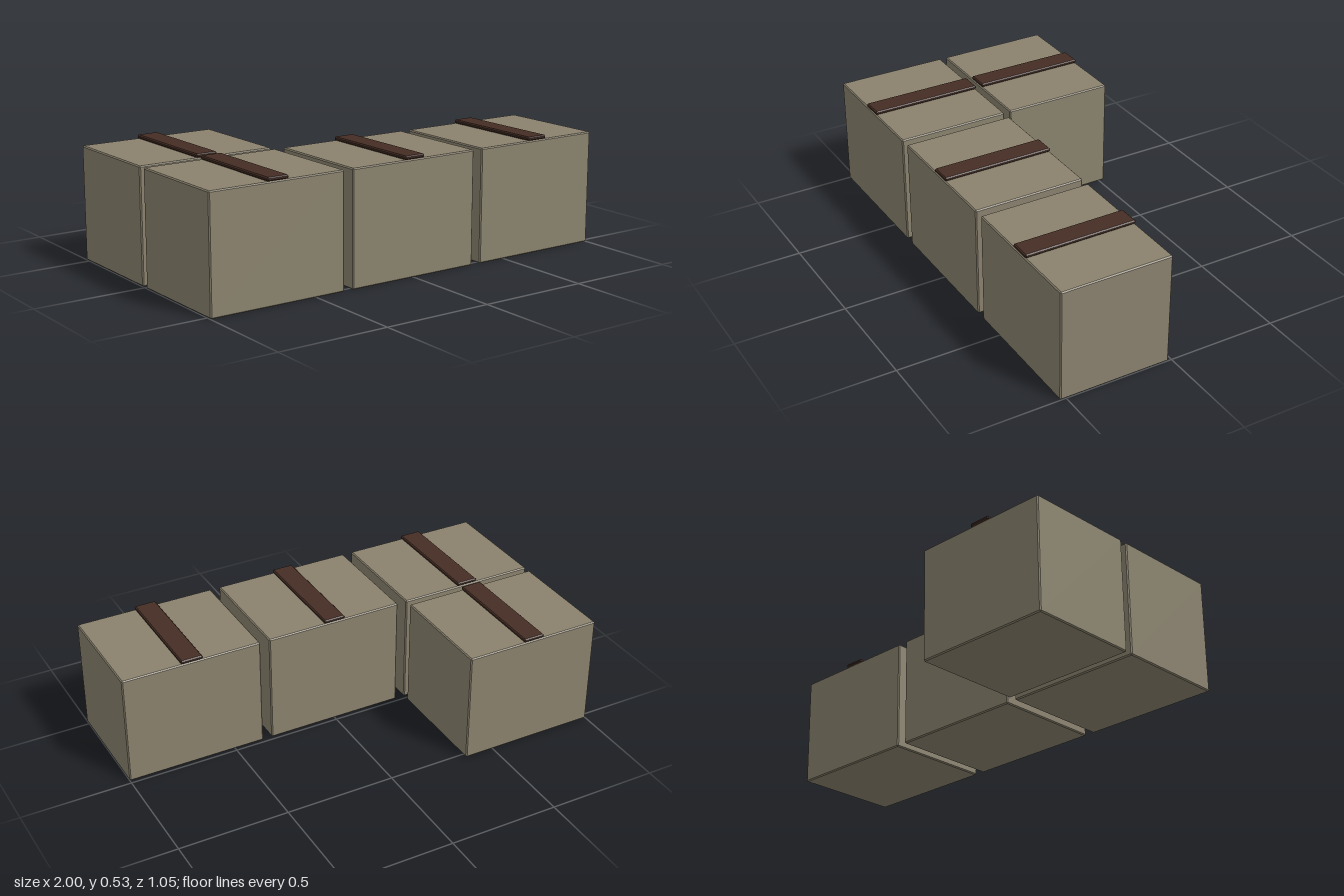
import * as THREE from 'three';
import { ConvexGeometry } from 'three/addons/geometries/ConvexGeometry.js';

// Box with narrow chamfers on every edge
function chamferedBox(w, h, d, c) {
  const points = [];
  for (const sx of [-1, 1]) for (const sy of [-1, 1]) for (const sz of [-1, 1]) {
    const x = sx * w / 2, y = sy * h / 2, z = sz * d / 2;
    points.push(
      new THREE.Vector3(x, y - sy * c, z - sz * c),
      new THREE.Vector3(x - sx * c, y, z - sz * c),
      new THREE.Vector3(x - sx * c, y - sy * c, z)
    );
  }
  return new ConvexGeometry(points);
}

export function createModel() {
  const group = new THREE.Group();
  const stone = new THREE.MeshStandardMaterial({ color: 0x8a826e });
  stone.name = 'greyBrown';
  const strap = new THREE.MeshStandardMaterial({ color: 0x452d24 });
  strap.name = 'darkBrown';

  const W = 0.638, H = 0.512, D = 0.512;
  const blockGeo = chamferedBox(W, H, D, 0.005);
  const stripGeo = chamferedBox(0.1, 0.017, D, 0.005);

  // Three blocks along the front, one behind the right-hand end
  const places = [[-0.681, 0.271], [0, 0.271], [0.681, 0.271], [-0.681, -0.271]];
  places.forEach(([x, z], i) => {
    const unit = new THREE.Group();
    unit.name = `block${i + 1}`;
    const body = new THREE.Mesh(blockGeo, stone);
    body.name = 'blockBody';
    body.position.y = H / 2;
    // Band running front to back over the top
    const band = new THREE.Mesh(stripGeo, strap);
    band.name = 'topBand';
    band.position.y = H + 0.0085;
    unit.add(body, band);
    unit.position.set(x, 0, z);
    group.add(unit);
  });
  return group;
}
